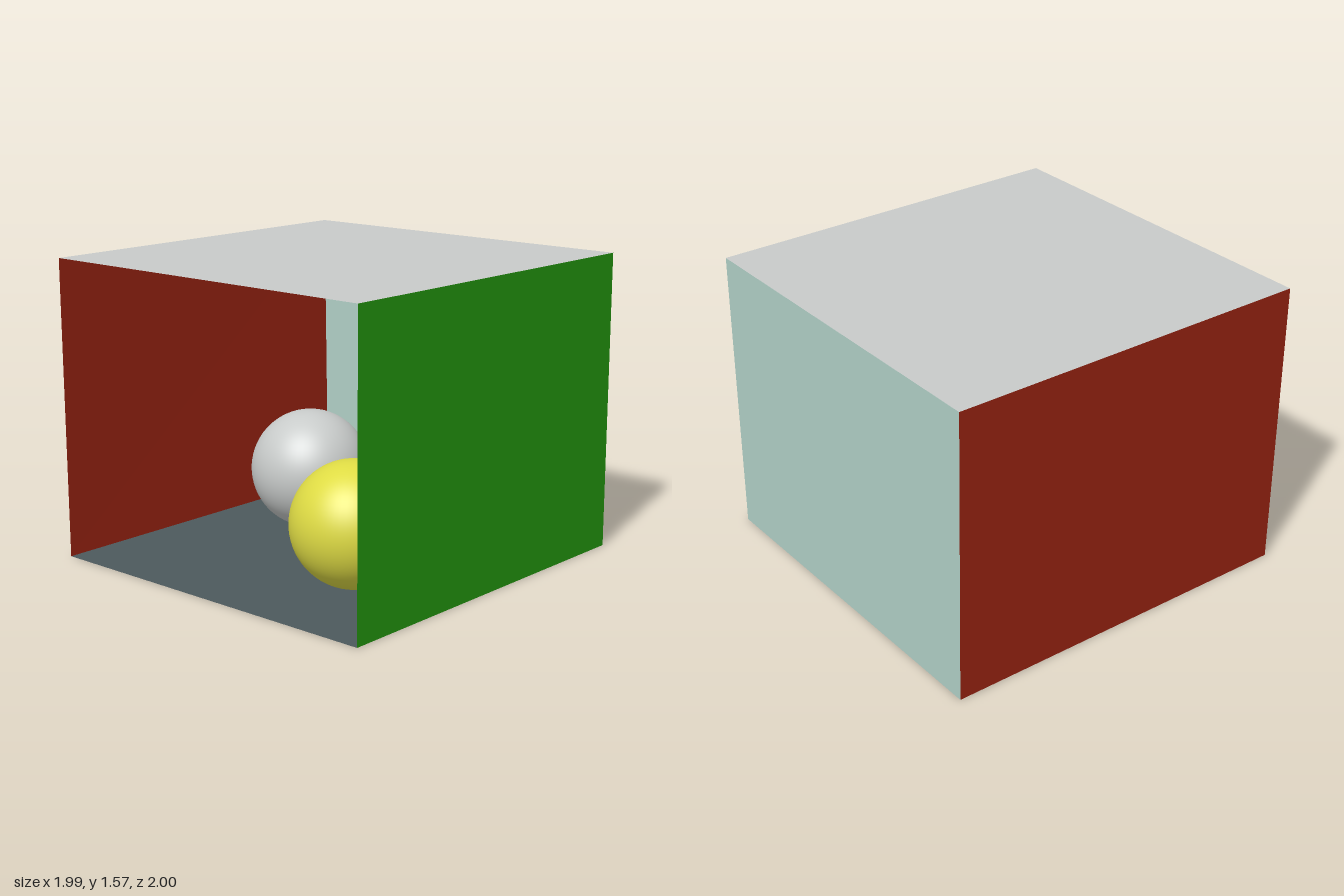
import * as THREE from 'three';

const paint = (name, color) => {
  const m = new THREE.MeshStandardMaterial({ color, side: THREE.DoubleSide });
  m.name = name;
  return m;
};

export function createModel() {
  const room = new THREE.Group();
  room.name = 'room';
  const white = paint('white', 0xc8cbca);
  const slate = paint('slate', 0x4d595d);
  const teal = paint('paleTeal', 0xb0cfc6);
  const green = paint('green', 0x24980f);
  const red = paint('red', 0x992312);
  const yellow = paint('yellow', 0xdedb44);

  // Room corners; the red wall leans in slightly at the floor
  const H = 1.57, X = 0.994;
  const floor = {
    frontLeft: [X, 0, 1], frontRight: [-0.983, 0, 1],
    backRight: [-0.971, 0, -1], backLeft: [X, 0, -1],
  };
  const top = {
    frontLeft: [X, H, 1], frontRight: [-X, H, 1],
    backRight: [-X, H, -1], backLeft: [X, H, -1],
  };

  // One flat panel from four corners, counter-clockwise seen from inside
  const panel = (name, material, ...corners) => {
    const g = new THREE.BufferGeometry();
    g.setAttribute('position', new THREE.Float32BufferAttribute(corners.flat(), 3));
    g.setIndex([0, 1, 2, 0, 2, 3]);
    const flat = g.toNonIndexed();
    flat.computeVertexNormals();
    const mesh = new THREE.Mesh(flat, material);
    mesh.name = name;
    room.add(mesh);
  };
  panel('floor', slate, floor.frontRight, floor.frontLeft, floor.backLeft, floor.backRight);
  panel('ceiling', white, top.frontLeft, top.frontRight, top.backRight, top.backLeft);
  panel('backWall', teal, floor.backRight, floor.backLeft, top.backLeft, top.backRight);
  panel('leftWall', green, floor.backLeft, floor.frontLeft, top.frontLeft, top.backLeft);
  panel('rightWall', red, floor.frontRight, floor.backRight, top.backRight, top.frontRight);

  // Two balls resting just above the floor
  const ball = (name, material, x, z) => {
    const mesh = new THREE.Mesh(new THREE.SphereGeometry(0.323, 64, 40), material);
    mesh.name = name;
    mesh.position.set(x, 0.331, z);
    room.add(mesh);
  };
  ball('whiteBall', white, -0.415, -0.235);
  ball('yellowBall', yellow, 0.45, 0.395);

  return room;
}
